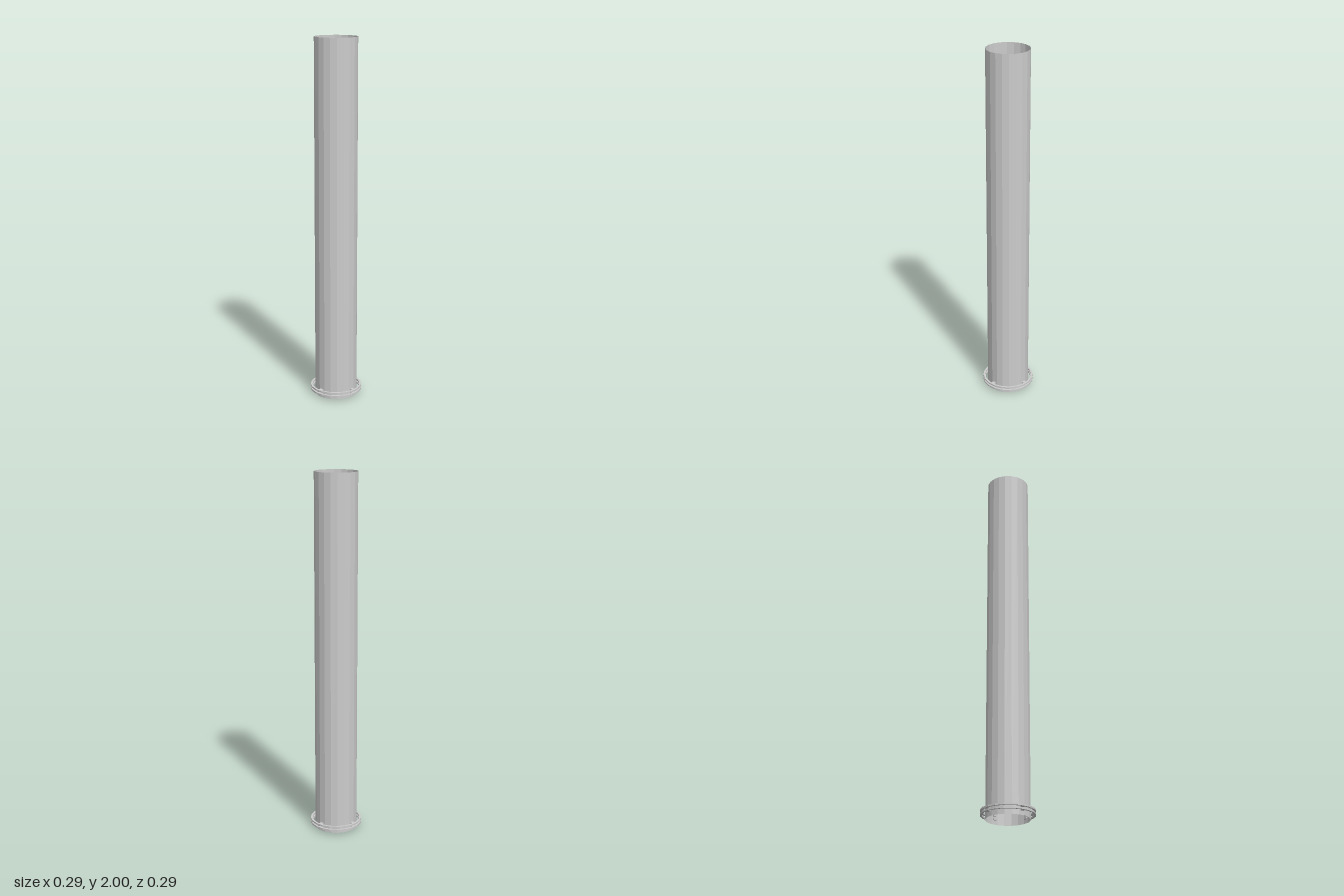
import * as THREE from 'three';

const SIDES = 20;

export function createModel() {
  const group = new THREE.Group();
  const solid = new THREE.MeshStandardMaterial({ color: 0xcccccc, flatShading: true });
  const thin = new THREE.MeshStandardMaterial({ color: 0xcccccc, flatShading: true, side: THREE.DoubleSide });

  function add(name, geometry, material, parent = group) {
    const mesh = new THREE.Mesh(geometry, material);
    mesh.name = name;
    parent.add(mesh);
    return mesh;
  }

  // Long thin-walled tube, open at both ends
  const tube = add('tube', new THREE.CylinderGeometry(0.117, 0.117, 2, SIDES, 1, true), thin);
  tube.position.y = 1;

  // Flat mounting rings, each held to the tube by four short diagonal tabs
  const inner = 0.133, outer = 0.144, height = 0.009;
  const profile = [[inner, 0], [outer, 0], [outer, height], [inner, height], [inner, 0]]
    .map(([r, y]) => new THREE.Vector2(r, y - height / 2));
  const ringGeometry = new THREE.LatheGeometry(profile, SIDES);
  const tabGeometry = new THREE.BoxGeometry(0.029, height, 0.018);
  tabGeometry.translate(0.1225, 0, 0);

  [['lowerCollar', 0.027], ['upperCollar', 0.045]].forEach(([name, y]) => {
    const collar = new THREE.Group();
    collar.name = name;
    collar.position.y = y;
    group.add(collar);
    add('ring', ringGeometry, solid, collar);
    for (let i = 0; i < 4; i++) {
      add('tab', tabGeometry, solid, collar).rotation.y = Math.PI / 4 + i * Math.PI / 2;
    }
  });

  return group;
}
